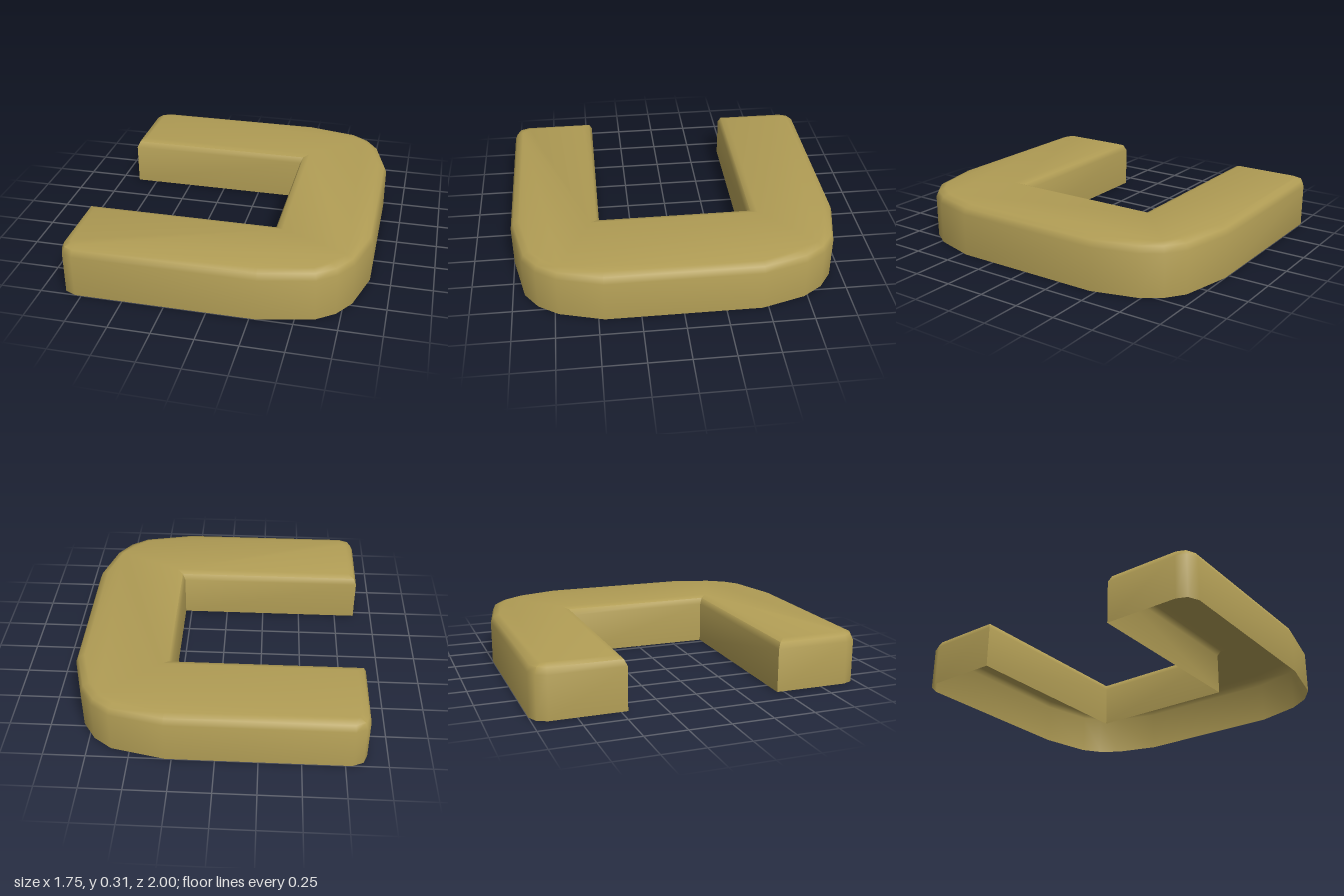
import * as THREE from 'three';
import { toCreasedNormals } from 'three/addons/utils/BufferGeometryUtils.js';

// Half of the plan outline (x, z), from the inner corner round to the closed side
const HALF = [
  [0.29, 0.46], [-0.88, 0.46], [-0.88, 0.91], [-0.855, 0.97], [-0.79, 1],
  [0.29, 1], [0.61, 0.93], [0.72, 0.85], [0.8, 0.73], [0.875, 0.465],
];

// Wall and rounded rim: [height, inset]
const PROFILE = [[0, 0], [0.26, 0], [0.298, 0.017], [0.312, 0.055]];

// Moves each corner inward along its mitre
function insetOutline(points, amount) {
  const n = points.length;
  return points.map((p, i) => {
    const before = p.clone().sub(points[(i + n - 1) % n]).normalize();
    const after = points[(i + 1) % n].clone().sub(p).normalize();
    const a = new THREE.Vector2(before.y, -before.x);
    const b = new THREE.Vector2(after.y, -after.x);
    return p.clone().addScaledVector(a.clone().add(b), amount / (1 + a.dot(b)));
  });
}

export function createModel() {
  const olive = new THREE.MeshStandardMaterial({ color: 0xb19d55, side: THREE.DoubleSide });
  olive.name = 'olive gold';

  const mirrored = HALF.map(([x, z]) => [x, -z]).reverse();
  const outline = [...HALF, ...mirrored].map(([x, z]) => new THREE.Vector2(x, z));
  const n = outline.length;
  const positions = [];
  const indices = [];

  // Side walls and rim, open underneath
  PROFILE.forEach(([y, inset], level) => {
    for (const p of insetOutline(outline, inset)) positions.push(p.x, y, p.y);
    if (level === 0) return;
    for (let i = 0; i < n; i++) {
      const j = (i + 1) % n;
      const low = (level - 1) * n;
      const high = level * n;
      indices.push(low + i, low + j, high + j, low + i, high + j, high + i);
    }
  });

  // Flat top
  const [, topInset] = PROFILE[PROFILE.length - 1];
  const top = insetOutline(outline, topInset).map((p) => new THREE.Vector2(p.x, -p.y));
  const base = (PROFILE.length - 1) * n;
  for (const face of THREE.ShapeUtils.triangulateShape(top, [])) {
    indices.push(...face.map((k) => base + k));
  }

  const geometry = new THREE.BufferGeometry();
  geometry.setAttribute('position', new THREE.Float32BufferAttribute(positions, 3));
  geometry.setIndex(indices);

  const shell = new THREE.Mesh(toCreasedNormals(geometry, 0.9), olive);
  shell.name = 'uShapedShell';

  const model = new THREE.Group();
  model.name = 'uShapedBlock';
  model.add(shell);
  return model;
}
